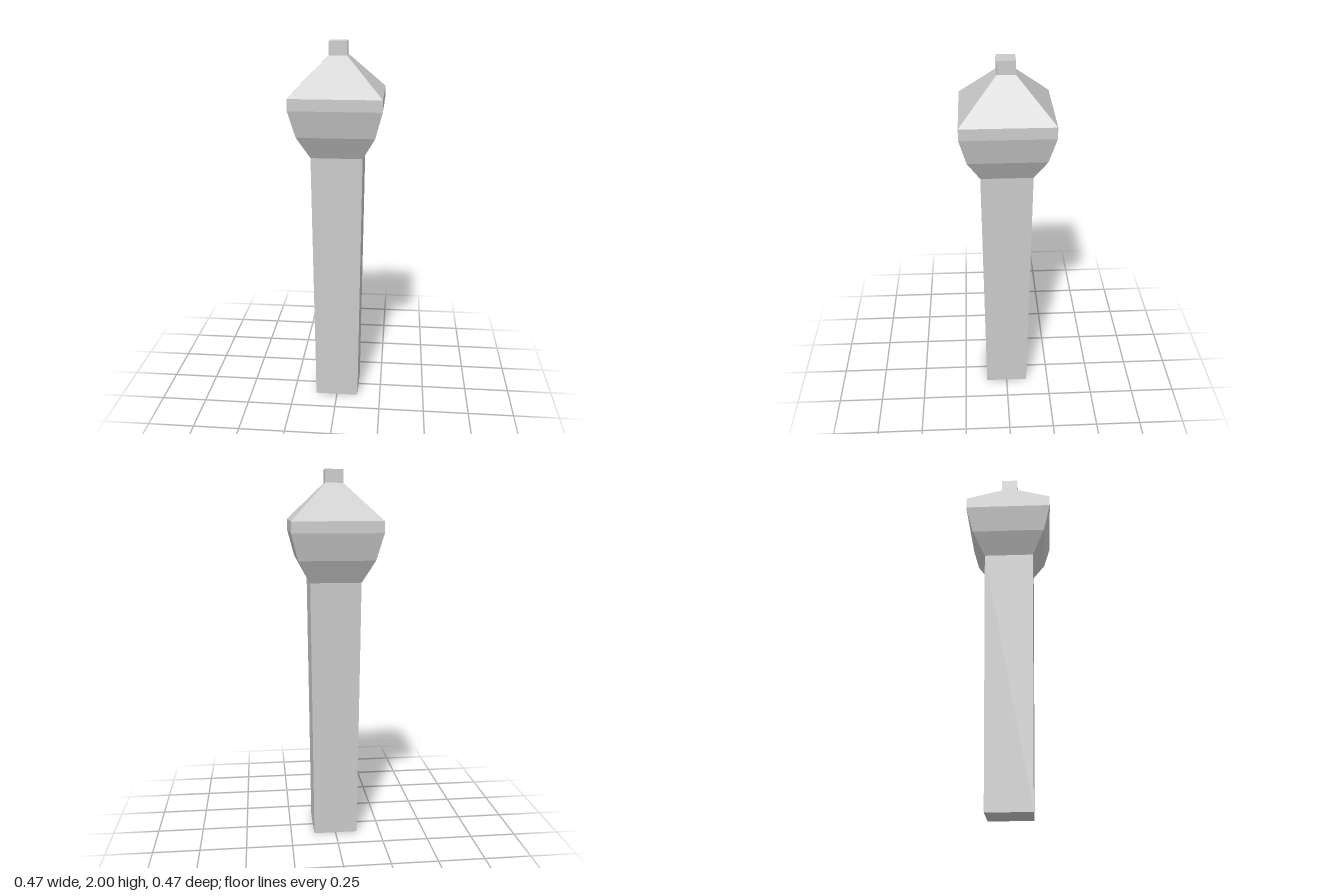
import * as THREE from 'three';

const material = new THREE.MeshStandardMaterial({ color: 0xcccccc, flatShading: true });

// Square-section part from a rising profile of [half width, height]
function squarePart(name, profile) {
  const points = profile.map(([half, y]) => new THREE.Vector2(half * Math.SQRT2, y));
  const mesh = new THREE.Mesh(new THREE.LatheGeometry(points, 4, Math.PI / 4), material);
  mesh.name = name;
  return mesh;
}

export function createModel() {
  const group = new THREE.Group();
  group.name = 'post';
  group.add(
    // Slightly flaring shaft, closed at the base
    squarePart('shaft', [[0, 0], [0.12, 0], [0.135, 1.42]]),
    // Widening head with a short upright band
    squarePart('head', [[0.135, 1.42], [0.2, 1.54], [0.236, 1.68], [0.236, 1.74]]),
    // Pyramid roof
    squarePart('roof', [[0.236, 1.74], [0.047, 1.93]]),
    // Small block on top, closed above
    squarePart('finial', [[0.047, 1.93], [0.047, 2], [0, 2]]),
  );
  return group;
}
